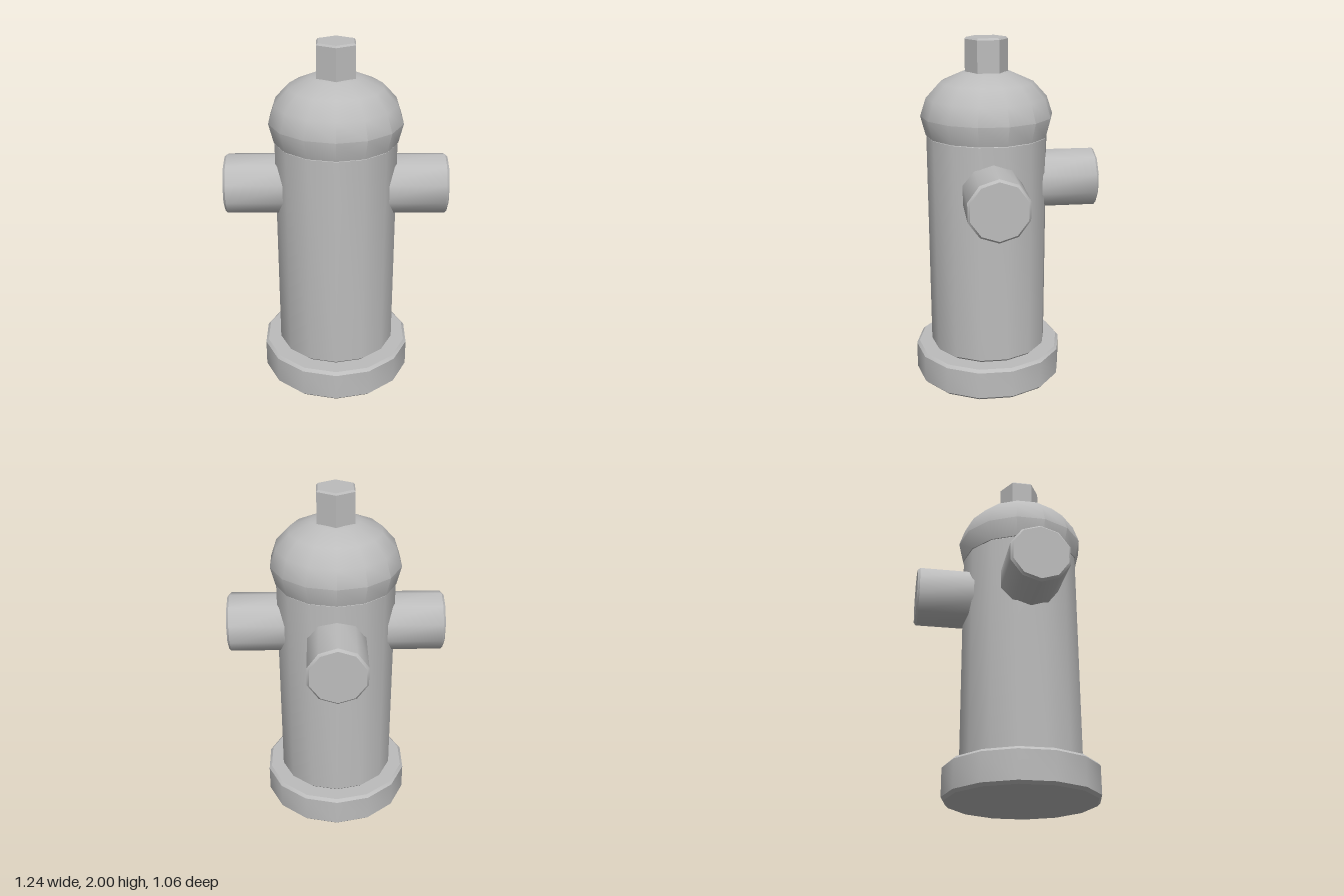
import * as THREE from 'three';
import { toCreasedNormals } from 'three/addons/utils/BufferGeometryUtils.js';

const iron = new THREE.MeshStandardMaterial({ color: 0xbcbcbc });
iron.name = 'grey iron';

// Lathe a profile of [radius, height] pairs, smooth round the sides, sharp at rims
function turned(name, profile, sides) {
  const points = profile.map(([r, y]) => new THREE.Vector2(r, y));
  const geometry = toCreasedNormals(new THREE.LatheGeometry(points, sides), 0.7);
  const mesh = new THREE.Mesh(geometry, iron);
  mesh.name = name;
  return mesh;
}

// Closed prism with small chamfers at both rims
function chamferedPrism(name, radius, y0, y1, bevel, sides) {
  return turned(name, [
    [0, y0], [radius - bevel, y0], [radius, y0 + bevel],
    [radius, y1 - bevel], [radius - bevel, y1], [0, y1],
  ], sides);
}

export function createModel() {
  const model = new THREE.Group();
  model.name = 'hydrant';

  // Upright parts share one axis, set forward of the centre
  const axis = new THREE.Group();
  axis.name = 'hydrantBody';
  axis.position.z = 0.092;
  model.add(axis);

  axis.add(chamferedPrism('base', 0.435, 0, 0.19, 0.016, 14));
  axis.add(chamferedPrism('barrel', 0.342, 0.19, 1.47, 0.014, 14));
  axis.add(turned('dome', [
    [0, 1.46], [0.345, 1.46], [0.373, 1.57], [0.34, 1.67],
    [0.262, 1.755], [0.138, 1.81], [0, 1.825],
  ], 14));
  axis.add(chamferedPrism('topNut', 0.12, 1.78, 2, 0.01, 6));

  // Three outlets: back, left and right
  const outlets = [['backOutlet', 0], ['rightOutlet', Math.PI / 2], ['leftOutlet', -Math.PI / 2]];
  for (const [name, turn] of outlets) {
    const outlet = chamferedPrism(name, 0.171, 0.15, 0.62, 0.013, 10);
    outlet.geometry.rotateX(-Math.PI / 2).rotateY(turn);
    outlet.position.y = 1.19;
    axis.add(outlet);
  }
  return model;
}
